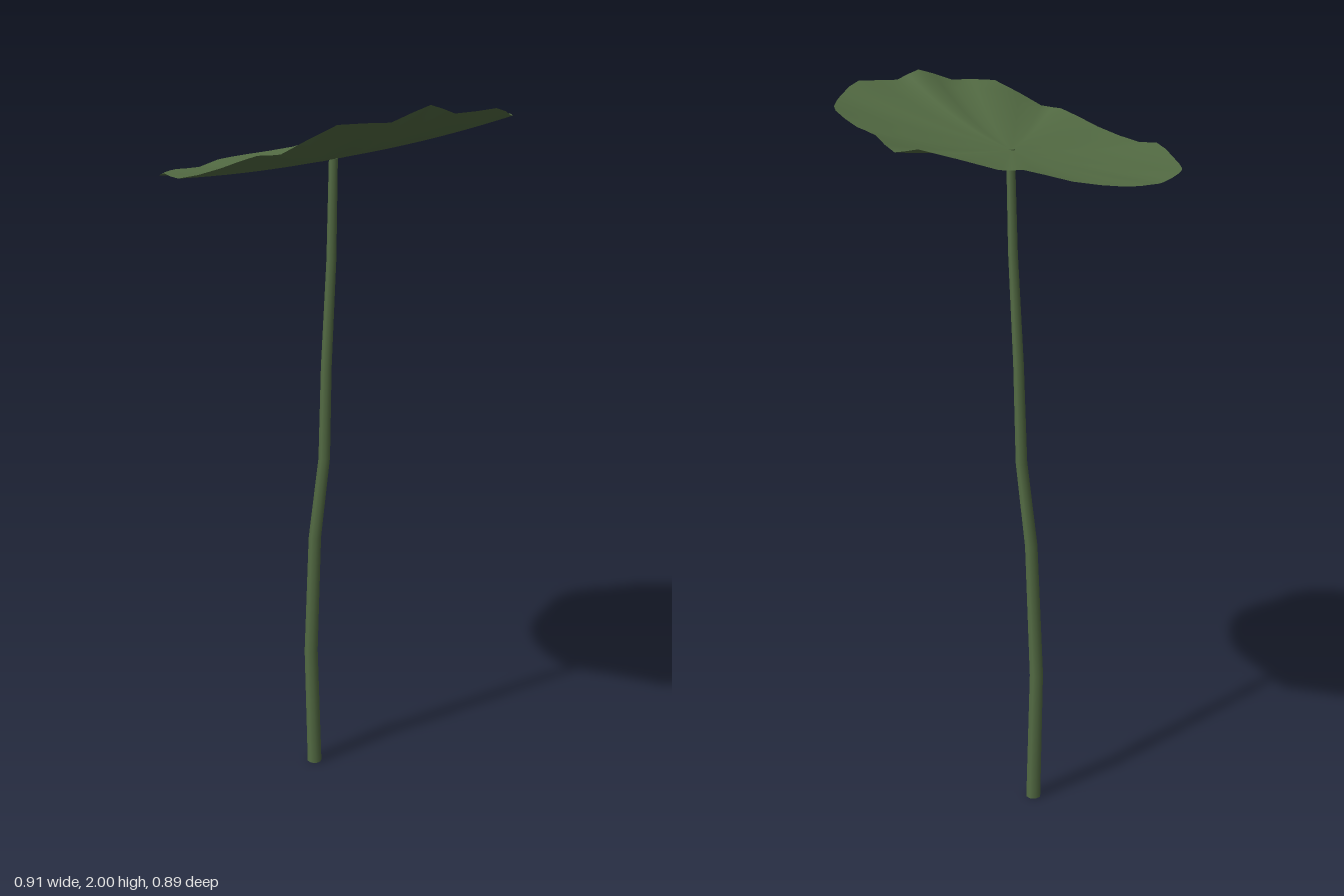
import * as THREE from 'three';

const leafGreen = new THREE.MeshStandardMaterial({ color: 0x536b43, side: THREE.DoubleSide });
leafGreen.name = 'leafGreen';

// Wavy outline of the leaf: x, y, z, running from +x towards +z
const RIM = [
  [.453, 1.978, .01], [.405, 1.975, .13], [.375, 2.0, .195], [.33, 1.968, .30],
  [.234, 1.965, .38], [.115, 1.895, .437], [.054, 1.888, .444], [-.068, 1.845, .425],
  [-.2, 1.808, .42], [-.26, 1.812, .398], [-.35, 1.785, .305], [-.42, 1.772, .195],
  [-.442, 1.768, .12], [-.447, 1.758, .01], [-.457, 1.764, -.09], [-.43, 1.768, -.185],
  [-.334, 1.785, -.28], [-.244, 1.815, -.356], [-.193, 1.815, -.385], [-.007, 1.86, -.446],
  [.056, 1.85, -.45], [.12, 1.885, -.43], [.22, 1.895, -.36], [.33, 1.925, -.288],
  [.4, 1.935, -.183], [.44, 1.95, -.09],
].map(p => new THREE.Vector3(...p));

const CENTRE = new THREE.Vector3(-.015, 1.817, .01);
const TILT = .2; // rise of the leaf towards +x

// Shallow dish: a tilted plane whose curl and ripples grow towards the rim
function leafGeometry() {
  const segments = RIM.length * 2, rings = 10;
  const curve = new THREE.CatmullRomCurve3(RIM, true);
  const positions = [CENTRE.x, CENTRE.y, CENTRE.z], index = [];
  for (let r = 1; r <= rings; r++) {
    const t = r / rings;
    for (let i = 0; i < segments; i++) {
      const p = curve.getPoint(i / segments);
      const dx = p.x - CENTRE.x;
      const curl = p.y - CENTRE.y - TILT * dx;
      positions.push(
        CENTRE.x + dx * t,
        CENTRE.y + TILT * dx * t + curl * t * t,
        CENTRE.z + (p.z - CENTRE.z) * t);
      const next = (i + 1) % segments;
      const outer = 1 + (r - 1) * segments, inner = outer - segments;
      if (r === 1) index.push(0, outer + next, outer + i);
      else index.push(
        inner + i, inner + next, outer + next,
        inner + i, outer + next, outer + i);
    }
  }
  const geometry = new THREE.BufferGeometry();
  geometry.setAttribute('position', new THREE.Float32BufferAttribute(positions, 3));
  geometry.setIndex(index);
  geometry.computeVertexNormals();
  return geometry;
}

// Stem joints from the ground up: x, y, z
const STEM = [
  [-.121, 0, -.05], [-.121, .37, -.035], [-.092, .74, -.014], [-.066, .98, -.024],
  [-.045, 1.25, -.003], [-.026, 1.55, 0], [-.013, 1.818, .01],
];

// Tapered cylinder whose rings are shifted onto the joints
function stemGeometry() {
  const last = STEM.length - 1;
  const geometry = new THREE.CylinderGeometry(.012, .021, 1, 8, last);
  const pos = geometry.attributes.position;
  for (let i = 0; i < pos.count; i++) {
    const [x, y, z] = STEM[Math.round((pos.getY(i) + .5) * last)];
    pos.setXYZ(i, pos.getX(i) + x, y, pos.getZ(i) + z);
  }
  return geometry;
}

export function createModel() {
  const group = new THREE.Group();
  group.name = 'lilyLeaf';
  const leaf = new THREE.Mesh(leafGeometry(), leafGreen);
  leaf.name = 'leaf';
  const stem = new THREE.Mesh(stemGeometry(), leafGreen);
  stem.name = 'stem';
  group.add(leaf, stem);
  return group;
}
